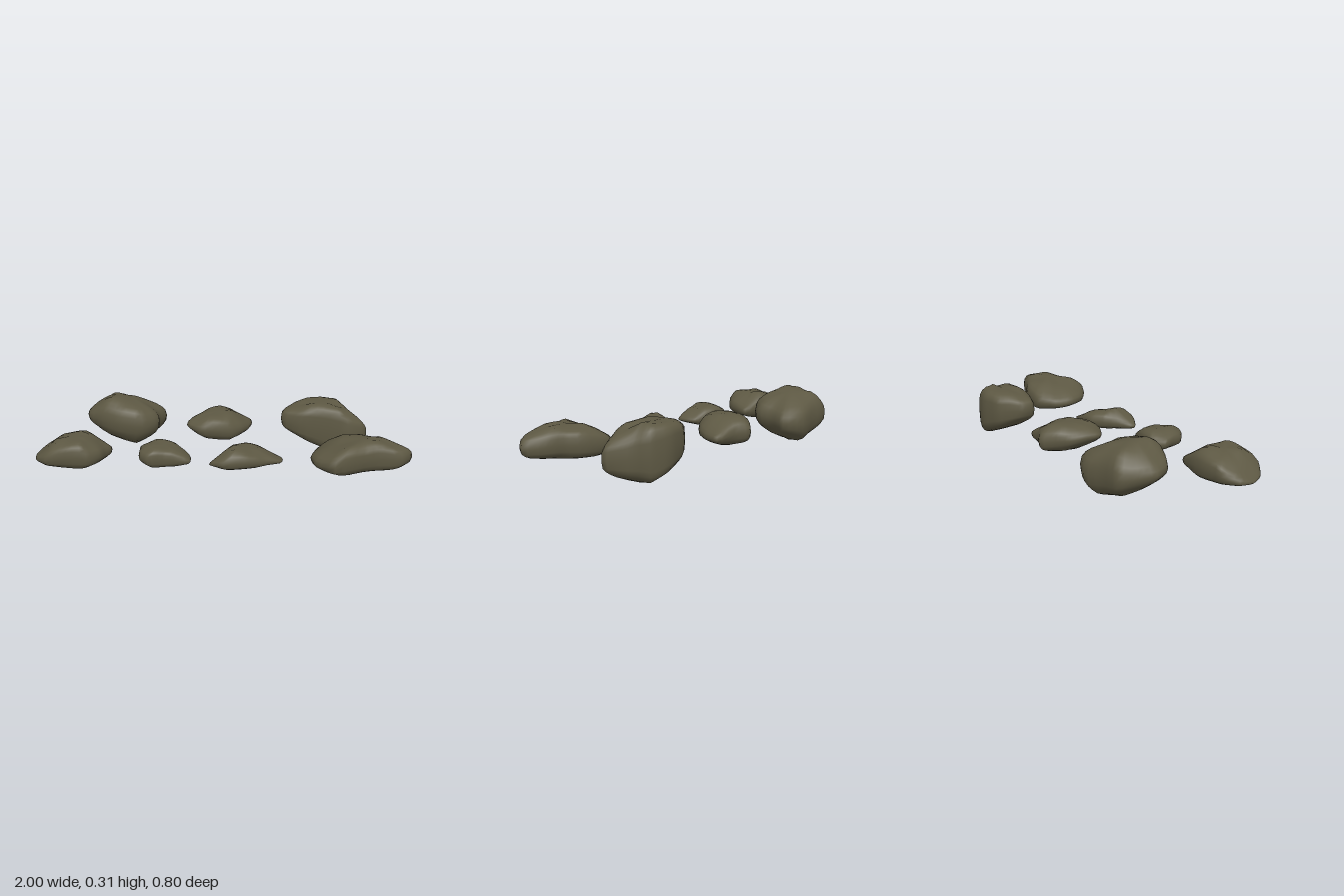
import * as THREE from 'three';

const SIDES = 36;
const RINGS = 11;

// Height of a profile whose samples are evenly spaced over t = 0..1
function heightAt(profile, t) {
  const s = THREE.MathUtils.clamp(t, 0, 1) * (profile.length - 1);
  const i = Math.min(Math.floor(s), profile.length - 2);
  return THREE.MathUtils.lerp(profile[i], profile[i + 1], s - i);
}

// centre and half are [x, z]; radii go round the plan in equal steps from +x to +z;
// top and bottom are heights from the -x end to the +x end;
// fullness squares off the upright section; tilt raises the +z side
function rockGeometry(centre, half, radii, top, bottom, fullness, tilt) {
  const [cx, cz] = centre, [hx, hz] = half;
  const corners = radii.map((r, i) => {
    const a = i * Math.PI * 2 / radii.length;
    return new THREE.Vector3(hx * r * Math.cos(a), 0, hz * r * Math.sin(a));
  });
  const loop = new THREE.CatmullRomCurve3(corners, true, 'catmullrom', .3).getPoints(SIDES).slice(0, SIDES);
  const positions = [], index = [];

  const add = (x, z, f) => {
    const t = (x + hx) / (2 * hx);
    const y = THREE.MathUtils.lerp(heightAt(bottom, t), heightAt(top, t), f);
    // Gentle dents in the upper surface
    const dent = .006 * f * Math.sin((cx + x) * 27) * Math.sin((cz + z) * 31);
    positions.push(cx + x, y + tilt * z + dent, cz + z);
  };

  // Superellipse section from underside to top
  for (let r = 0; r < RINGS; r++) {
    const a = ((r + 1) / (RINGS + 1) - .5) * Math.PI;
    const scale = Math.cos(a) ** (2 / fullness);
    const f = .5 + .5 * Math.sign(a) * Math.abs(Math.sin(a)) ** (2 / fullness);
    loop.forEach((p, i) => {
      const wobble = 1 + .025 * Math.abs(Math.sin(a)) * Math.sin(i * 10 * Math.PI / SIDES + r + cx * 9);
      const k = Math.min(1, scale * wobble);
      add(p.x * k, p.z * k, f);
    });
  }
  add(0, 0, 0);
  add(0, 0, 1);

  const last = (RINGS - 1) * SIDES, under = last + SIDES, crown = under + 1;
  for (let i = 0; i < SIDES; i++) {
    const j = (i + 1) % SIDES;
    for (let r = 0; r < last; r += SIDES) {
      const up = r + SIDES;
      index.push(r + j, r + i, up + i, r + j, up + i, up + j);
    }
    index.push(under, i, j, crown, last + j, last + i);
  }
  const geometry = new THREE.BufferGeometry();
  geometry.setAttribute('position', new THREE.Float32BufferAttribute(positions, 3));
  geometry.setIndex(index);
  geometry.computeVertexNormals();
  return geometry;
}

export function createModel() {
  const group = new THREE.Group();
  group.name = 'rocks';
  const stone = new THREE.MeshStandardMaterial({ color: 0x5d5843 });
  stone.name = 'mossy stone';
  const rock = (name, ...shape) => {
    const mesh = new THREE.Mesh(rockGeometry(...shape), stone);
    mesh.name = name;
    group.add(mesh);
  };

  // Back row
  rock('backRightLargeRock', [-.59, -.23], [.23, .18],
    [.87, 1.05, 1.12, 1, .94, .97, .95, .89, .99, .86, 1.08, 1.15],
    [.24, .315, .285, .25], [.14, .06, .02, .07], 2.5, .12);
  rock('backMiddleRock', [-.035, -.19], [.185, .17],
    [.92, .84, .86, .9, 1.1, 1.12, .81, .71, .76, 1, .86, 1.16],
    [.21, .24, .235, .17], [.15, .09, .075, .1], 2.6, .02);
  rock('backLeftLargeRock', [.555, -.225], [.245, .135],
    [.78, 1.18, 1.18, .89, 1.03, 1.09, .92, .82, .93, .97, .85, .68],
    [.26, .295, .295, .2], [.15, .07, 0, .05], 4, 0);

  // Front row
  rock('frontRightRock', [-.8, .215], [.2, .14],
    [.92, .95, 1.06, 1, 1.12, 1.03, 1, 1.04, 1.03, .96, 1, 1.15],
    [.12, .215, .23, .16], [.09, .072, .06, .08], 3, .03);
  rock('frontSmallRock', [-.3, .23], [.145, .115],
    [.96, 1.1, .78, .76, 1.08, 1.02, .93, 1.09, 1.1, .9, .84, .92],
    [.18, .2, .185, .13], [.1, .08, .08, .1], 3, .02);
  rock('frontMiddleRock', [.13, .215], [.195, .12],
    [.97, .7, .73, .87, 1.18, 1.12, .66, .59, .69, .96, 1.01, 1.15],
    [.13, .195, .165, .11], [.085, .075, .08, .08], 2.6, 0);
  rock('frontLeftLargeRock', [.735, .22], [.265, .185],
    [1, .88, .58, .62, 1.12, 1.06, .99, 1, 1.09, .85, .65, .74],
    [.17, .235, .25, .21], [.09, .07, .08, .09], 3, .05);
  return group;
}
